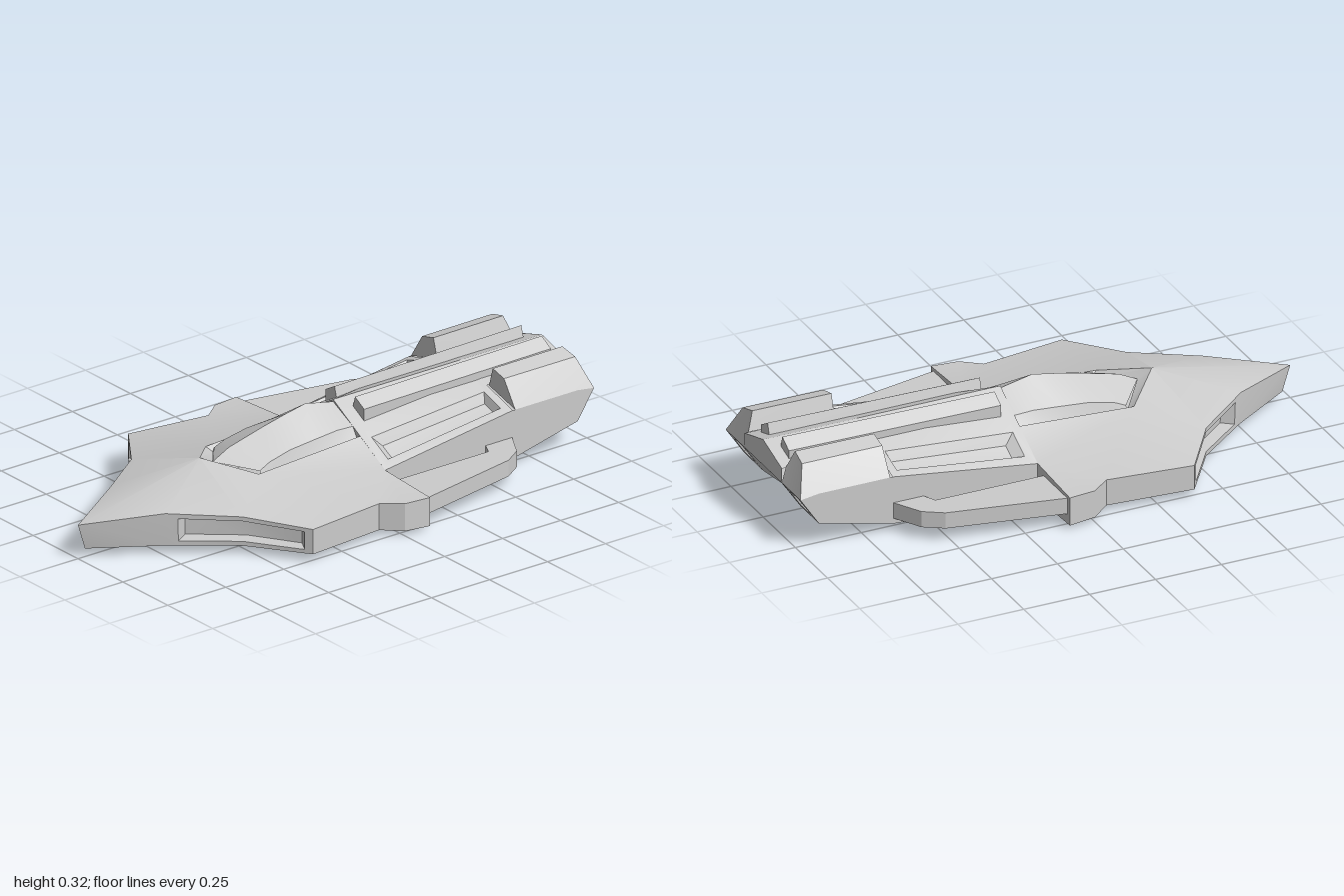
import * as THREE from 'three';
import { toCreasedNormals } from 'three/addons/utils/BufferGeometryUtils.js';

const material = new THREE.MeshStandardMaterial({ color: 0xcccccc, side: THREE.DoubleSide });

// A mesh from polygons given on the +x half and mirrored to the other half
function halves(name, polygons) {
  const pos = [];
  for (const p of polygons) {
    for (let i = 1; i < p.length - 1; i++) {
      const tri = [p[0], p[i], p[i + 1]];
      tri.forEach(v => pos.push(...v));
      [...tri].reverse().forEach(([x, y, z]) => pos.push(-x, y, z));
    }
  }
  const geo = new THREE.BufferGeometry();
  geo.setAttribute('position', new THREE.Float32BufferAttribute(pos, 3));
  const mesh = new THREE.Mesh(toCreasedNormals(geo, 0.48), material);
  mesh.name = name;
  return mesh;
}

// Quads between two polylines
const strip = (a, b) => a.slice(1).map((_, i) => [a[i], b[i], b[i + 1], a[i + 1]]);

// Skin over cross-sections ordered front to rear
const loft = sections => sections.slice(1).flatMap((s, i) => strip(s, sections[i]));

const at = (z, points) => points.map(([x, y]) => [x, y, z]);
const mix = (a, b, t) => a.map((v, i) => v + (b[i] - v) * t);
const add = (a, b) => a.map((v, i) => v + b[i]);

// Panel with a sunken pocket: rim, walls and floor
function pocket(outer, inner, floor) {
  const ring = l => [...l, l[0]];
  return [...strip(ring(inner), ring(outer)), ...strip(ring(floor), ring(inner)), floor];
}

function frontHull() {
  // Corners of the deck, nose to rear, and the matching keel corners
  const A = [0, .125, 1], B = [.15, .15, .74], C = [.31, .137, .53], D = [.515, .122, .385];
  const E = [.475, .12, .07], F = [.53, .12, 0], G = [.54, .12, -.1], H = [.29, .135, -.1];
  const I = [.15, .213, -.1], J = [.148, .188, .335], K = [0, .235, .475];
  const a = [0, .03, .97], b = [.15, .03, .735], c = [.31, .03, .53], d = [.515, .03, .385];
  const e = [.475, .022, .07], f = [.53, .018, 0], g = [.54, .014, -.1], h = [.29, 0, -.1];
  const m = [0, .03, .4], n = [0, .045, -.1], k = [.23, .03, -.1], r = [.22, .03, .3];

  const deck = [[A, B, K], [B, C, K], [C, J, K], [C, D, J], [D, E, J], [E, H, J], [E, F, H], [F, G, H], [H, I, J]];
  const belly = [[m, b, a], [m, c, b], [m, r, c], [r, d, c], [r, e, d], [r, h, e], [h, f, e], [h, g, f],
    [r, k, h], [m, k, r], [m, n, k]];

  // Side walls with a bent intake pocket around the front corner
  const P = mix(B, C, .16), p = mix(b, c, .16), Q = mix(C, D, .88), q = mix(c, d, .88);
  const tops = [P, C, Q], lows = [p, c, q];
  const rimTop = tops.map((t, i) => mix(t, lows[i], .15));
  const rimLow = tops.map((t, i) => mix(t, lows[i], .85));
  const inset = [[-.02, 0, -.045], [-.025, 0, -.035], [-.04, 0, -.02]];
  const floorTop = rimTop.map((v, i) => add(mix(v, rimLow[i], .08), inset[i]));
  const floorLow = rimLow.map((v, i) => add(mix(v, rimTop[i], .08), inset[i]));
  const walls = [
    ...strip([A, B, P], [a, b, p]),
    ...strip([Q, D, E, F, G, H], [q, d, e, f, g, h]),
    ...strip(tops, rimTop), ...strip(rimLow, lows)
  ];
  const intake = [
    ...strip(rimTop, floorTop), ...strip(floorTop, floorLow), ...strip(floorLow, rimLow),
    [rimTop[0], rimLow[0], floorLow[0], floorTop[0]], [floorTop[2], floorLow[2], rimLow[2], rimTop[2]]
  ];
  const group = new THREE.Group();
  group.name = 'frontHull';
  group.add(halves('deck', deck), halves('belly', belly), halves('hullSides', walls), halves('sideIntakes', intake));

  // Trench around the canopy, then the ridged canopy with steep sides
  const tip = [0, .205, .42], corner = [.134, .168, .315], rear = [.139, .188, -.1];
  group.add(halves('canopyTrench', [[K, tip, corner, J], [J, corner, rear, I]]));
  const base = z => mix(corner, rear, (.315 - z) / .415);
  group.add(halves('canopy', loft([
    [tip, [.127, .187, .315], corner],
    [[0, .24, .35], [.124, .207, .27], base(.27)],
    [[0, .278, .2], [.12, .226, .18], base(.18)],
    [[0, .3, .1], [.116, .234, .07], base(.07)],
    [[0, .315, .02], [.112, .24, -.03], base(-.03)],
    [[0, .29, -.1], [.11, .236, -.1], rear]
  ])));
  return group;
}

// Sloping roof of the rear body
function roof(x, z) {
  const side = .135 + .075 * Math.min(1, (-.1 - z) / .55);
  return [x, .298 - x / .29 * (.298 - side), z];
}

function rearBody() {
  const group = new THREE.Group();
  group.name = 'rearBody';
  const section = (z, top, low, x, mid, centre) => at(z, [[.29, top], [.29, low], [x, mid], [0, centre]]);
  group.add(halves('bodySides', [
    ...loft([section(-.1, .135, 0, .23, .03, .045), section(-.65, .21, .03, .2, .045, .07),
      section(-.93, .21, .095, .145, .095, .115)]),
    at(-.1, [[0, .13], [.29, .135], [0, .298]])
  ]));
  group.add(halves('tail', [
    [[.145, .2, -1], [.145, .095, -.93], [0, .115, -.93], [0, .2, -1]],
    at(-1, [[0, .298], [.145, .255], [.145, .2], [0, .2]])
  ]));
  // Roof with a long sunken bay on each side
  const corners = (x0, x1, z0, z1) => [roof(x0, z1), roof(x0, z0), roof(x1, z0), roof(x1, z1)];
  const floor = corners(.185, .245, -.17, -.61).map(v => add(v, [0, -.03, 0]));
  group.add(halves('roofBays', pocket(corners(0, .29, -.1, -.65), corners(.168, .26, -.135, -.62), floor)));
  group.add(halves('rearRoof', [corners(0, .145, -.65, -1)]));
  return group;
}

function spineRails() {
  const front = at(-.15, [[.045, .272], [.057, .314], [.108, .285], [.108, .235]]);
  const rear = at(-.955, [[.045, .285], [.057, .325], [.108, .295], [.108, .26]]);
  return halves('spineRails', [...loft([front, rear]), [...front].reverse(), rear]);
}

function enginePods() {
  const front = at(-.66, [[.145, .25], [.165, .32], [.228, .304], [.29, .21]]);
  const rear = [[.145, .255, -.985], [.165, .322, -.96], [.23, .305, -.965], [.29, .2, -1]];
  const corner = [.145, .2, -1];
  const group = new THREE.Group();
  group.name = 'enginePods';
  group.add(halves('podShells', [
    ...loft([front, rear]), [...front].reverse(), [rear[1], rear[2], rear[3], corner, rear[0]],
    [[.29, .21, -.93], [.29, .095, -.93], [.29, .2, -1]]
  ]));
  // Lower slanted rear face with a sunken nozzle
  const face = (x, t) => [x, .2 - .105 * t, -1 + .07 * t];
  const outer = [face(.29, 0), face(.29, 1), face(.145, 1), corner];
  const inner = [face(.252, .14), face(.264, .8), face(.172, .8), face(.184, .14)];
  const floor = [face(.246, .2), face(.256, .74), face(.18, .74), face(.19, .2)].map(v => add(v, [0, .028, .042]));
  group.add(halves('nozzles', pocket(outer, inner, floor)));
  return group;
}

// Swept arms that enclose a slot beside the body
function wingArm(side) {
  const outline = [[.335, .1], [.52, .1], [.435, .52], [.39, .59], [.285, .65], [.285, .535], [.335, .51]];
  const shape = new THREE.Shape(outline.map(([x, y]) => new THREE.Vector2(x * side, y)));
  const geo = new THREE.ExtrudeGeometry(shape, { depth: .06, bevelEnabled: false });
  geo.rotateX(-Math.PI / 2).translate(0, .05, 0);
  const mesh = new THREE.Mesh(geo, material);
  mesh.name = side > 0 ? 'leftWingArm' : 'rightWingArm';
  return mesh;
}

export function createModel() {
  const ship = new THREE.Group();
  ship.name = 'spaceship';
  ship.add(frontHull(), rearBody(), spineRails(), enginePods(), wingArm(1), wingArm(-1));
  return ship;
}
